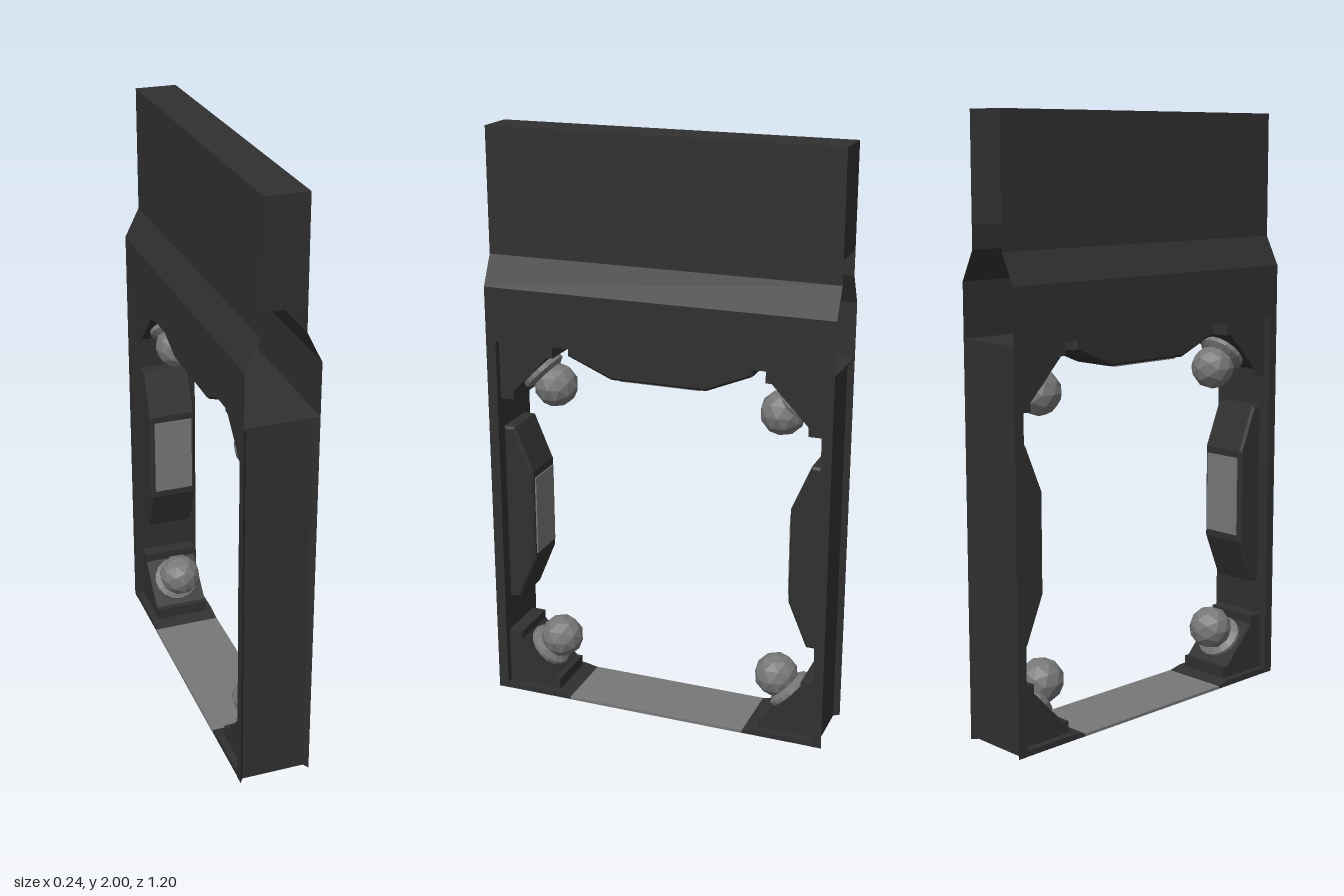
import * as THREE from 'three';

export function createModel() {
  const model = new THREE.Group();
  const dark = new THREE.MeshStandardMaterial({ color: 0x303030, side: THREE.DoubleSide, flatShading: true });
  dark.name = 'darkFrame';
  const grey = new THREE.MeshStandardMaterial({ color: 0x777777, flatShading: true });
  grey.name = 'paleGrey';

  const add = (name, geometry, material, parent = model) => {
    const mesh = new THREE.Mesh(geometry, material);
    mesh.name = name;
    parent.add(mesh);
    return mesh;
  };
  const box = (name, sx, sy, sz, x, y, z, material, parent) =>
    add(name, new THREE.BoxGeometry(sx, sy, sz), material, parent).position.set(x, y, z);
  const shapeOf = pts => new THREE.Shape(pts.map(p => new THREE.Vector2(...p)));
  // Extrudes a (z, y) outline across x, centred, with a small chamfer.
  const slab = (pts, width, bevel = 0) => {
    const g = new THREE.ExtrudeGeometry(shapeOf(pts), {
      depth: width - 2 * bevel, bevelEnabled: bevel > 0, bevelThickness: bevel,
      bevelSize: bevel, bevelOffset: -bevel, bevelSegments: 1,
    });
    return g.translate(0, 0, bevel - width / 2).rotateY(-Math.PI / 2);
  };

  // Header: solid upper beam above an open flared skirt
  box('headerBeam', 0.14, 0.34, 1.2, 0, 1.83, 0, dark);
  const profile = [[0.07, 1.66], [0.07, 1.58], [0.12, 1.48], [0.12, 1.3]];
  for (const s of [1, -1]) {
    const g = new THREE.PlaneGeometry(1.2, 1, 1, 3).rotateY(s * Math.PI / 2);
    const p = g.attributes.position;
    for (let i = 0; i < p.count; i++) {
      const [x, y] = profile[Math.floor(i / 2)];
      p.setXYZ(i, s * x, y, p.getZ(i));
    }
    const flat = g.toNonIndexed();
    flat.computeVertexNormals();
    add(s > 0 ? 'leftSkirt' : 'rightSkirt', flat, dark);
  }
  box('ceiling', 0.24, 0.006, 1.2, 0, 1.3, 0, dark);

  // Threshold: pale centre, dark ends
  box('floorPlate', 0.24, 0.01, 0.64, 0, 0.005, 0, grey);

  // Trapezoid padding block with a pale inset panel, built along y and facing -z
  const paddingBlock = name => {
    const group = new THREE.Group();
    group.name = name;
    add('paddingBody', slab([[0, -0.32], [-0.04, -0.32], [-0.105, -0.165], [-0.105, 0.165], [-0.04, 0.32], [0, 0.32]], 0.17, 0.008), dark, group);
    box('paddingPanel', 0.14, 0.28, 0.006, 0, 0, -0.107, grey, group);
    return group;
  };

  // Corner bracket outline in (z, y), for the lower front corner
  const bracketPts = [[0.565, 0.01], [0.37, 0.01], [0.37, 0.06], [0.39, 0.06], [0.515, 0.19], [0.515, 0.22], [0.565, 0.22]];
  const collarPts = [[0, -0.02], [0.065, -0.02], [0.08, -0.005], [0.08, 0.008], [0.06, 0.02], [0, 0.02]]
    .map(p => new THREE.Vector2(...p));

  const cornerLamp = top => {
    const group = new THREE.Group();
    group.name = top ? 'upperCornerLamp' : 'lowerCornerLamp';
    const flip = y => (top ? 1.31 - y : y);
    add('cornerBracket', slab(bracketPts.map(([z, y]) => [z, flip(y)]), 0.19), dark, group);
    const collar = add('lampCollar', new THREE.LatheGeometry(collarPts, 16), grey, group);
    collar.position.set(0, flip(0.135), 0.45);
    collar.rotation.x = top ? -3 * Math.PI / 4 : -Math.PI / 4;
    const globe = add('lampGlobe', new THREE.IcosahedronGeometry(0.076, 1), grey, group);
    globe.position.set(0, flip(0.182), 0.402);
    return group;
  };

  // Both ends: post, padding, lamps and threshold end
  for (const turn of [0, Math.PI]) {
    const end = new THREE.Group();
    end.name = turn ? 'backPost' : 'frontPost';
    end.rotation.y = turn;
    // Channel section in (x, -z), raised along y
    const section = [[-0.12, 0.565], [-0.12, 0.6], [-0.107, 0.58], [0.107, 0.58], [0.12, 0.6], [0.12, 0.565]];
    const post = new THREE.ExtrudeGeometry(shapeOf(section.map(([x, z]) => [x, -z])), { depth: 1.3, bevelEnabled: false });
    add('postChannel', post.rotateX(-Math.PI / 2), dark, end);
    add('thresholdEnd', slab([[0.57, 0], [0.32, 0], [0.32, 0.01], [0.37, 0.02], [0.57, 0.02]], 0.238), dark, end);
    const padding = paddingBlock('postPadding');
    padding.position.set(0, 0.665, 0.565);
    end.add(padding, cornerLamp(false), cornerLamp(true));
    model.add(end);
  }

  // Overhead padding faces down
  const overhead = paddingBlock('overheadPadding');
  overhead.rotation.x = -Math.PI / 2;
  overhead.position.y = 1.3;
  model.add(overhead);
  return model;
}
